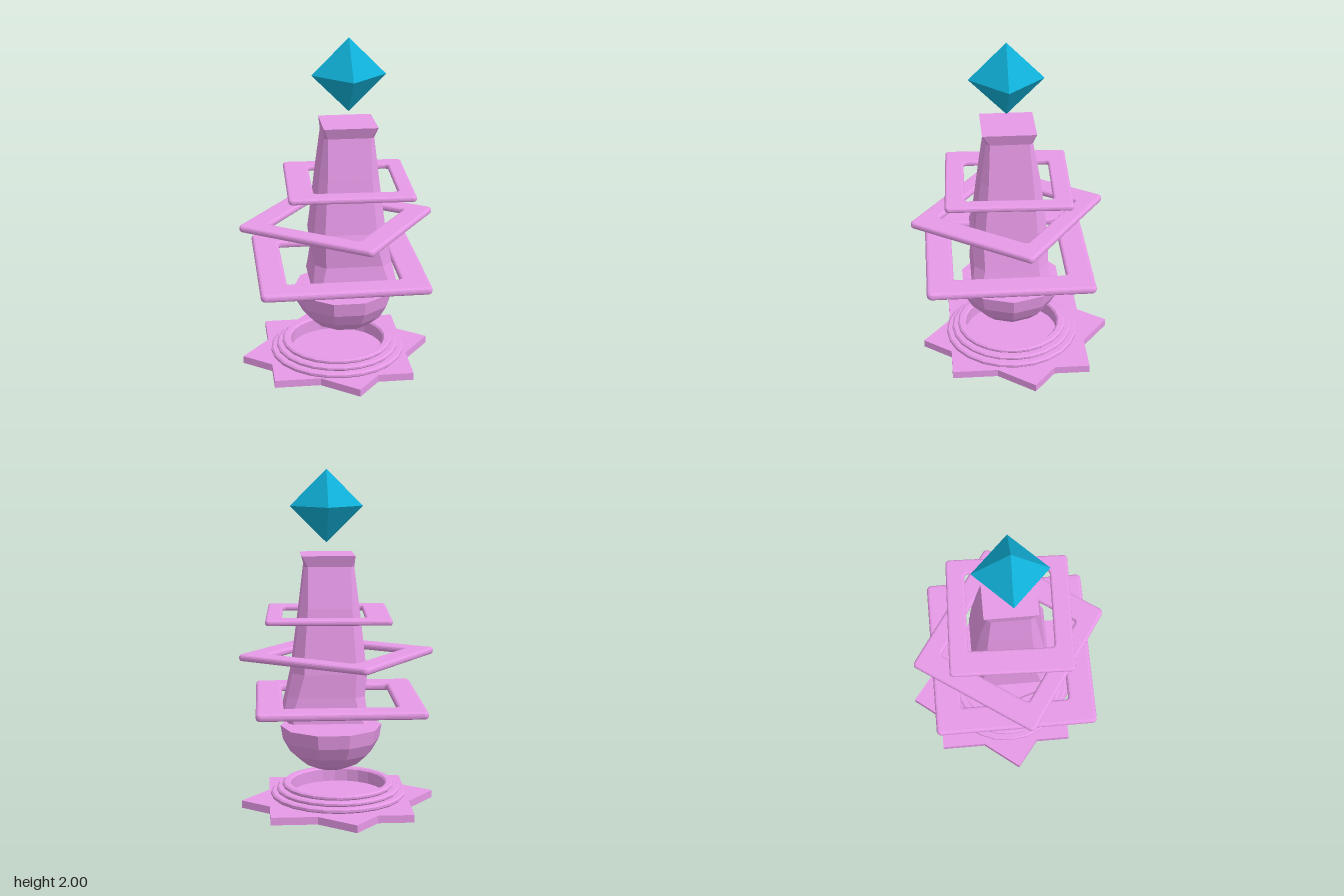
import * as THREE from 'three';

const pink = new THREE.MeshStandardMaterial({ color: 0xe699e6 });
const pinkFlat = new THREE.MeshStandardMaterial({ color: 0xe699e6, flatShading: true });
const blue = new THREE.MeshStandardMaterial({ color: 0x10b0d8, flatShading: true });

// Traces a rounded rectangle centred on (cx, cy) into a Shape or Path
function roundedRect(path, w, h, r, cx = 0, cy = 0) {
  const x = w / 2 - r, y = h / 2 - r;
  path.absarc(cx + x, cy + y, r, 0, Math.PI / 2);
  path.absarc(cx - x, cy + y, r, Math.PI / 2, Math.PI);
  path.absarc(cx - x, cy - y, r, Math.PI, Math.PI * 1.5);
  path.absarc(cx + x, cy - y, r, Math.PI * 1.5, Math.PI * 2);
  path.closePath();
  return path;
}

// Flat square frame with rounded edges, lying level
function frameGeometry(w, d, holeW, holeD, thick, holeX = 0) {
  const b = thick * 0.4;
  const shape = roundedRect(new THREE.Shape(), w - 2 * b, d - 2 * b, 0.012);
  shape.holes.push(roundedRect(new THREE.Path(), holeW + 2 * b, holeD + 2 * b, 0.035, holeX, 0));
  const geo = new THREE.ExtrudeGeometry(shape, {
    depth: thick - 2 * b, bevelThickness: b, bevelSize: b, bevelSegments: 3, curveSegments: 4,
  });
  geo.translate(0, 0, -(thick - 2 * b) / 2);
  return geo.rotateX(-Math.PI / 2);
}

// Joins chamfered rectangular sections [y, x0, x1, z0, z1, chamfer] into a closed column
function columnGeometry(sections) {
  const pos = [], index = [], n = 8;
  for (const [y, x0, x1, z0, z1, c] of sections) {
    pos.push(x0 + c, y, z1, x1 - c, y, z1, x1, y, z1 - c, x1, y, z0 + c,
      x1 - c, y, z0, x0 + c, y, z0, x0, y, z0 + c, x0, y, z1 - c);
  }
  for (let s = 0; s < sections.length - 1; s++) {
    for (let i = 0; i < n; i++) {
      const a = s * n + i, b = s * n + (i + 1) % n;
      index.push(a, b, b + n, a, b + n, a + n);
    }
  }
  const top = (sections.length - 1) * n;
  for (let i = 1; i < n - 1; i++) {
    index.push(0, i + 1, i, top, top + i, top + i + 1);
  }
  const geo = new THREE.BufferGeometry();
  geo.setAttribute('position', new THREE.Float32BufferAttribute(pos, 3));
  geo.setIndex(index);
  geo.computeVertexNormals();
  return geo;
}

export function createModel() {
  const model = new THREE.Group();
  const add = (parent, name, geo, mat, x = 0, y = 0, z = 0, turn = 0) => {
    const mesh = new THREE.Mesh(geo, mat);
    mesh.name = name;
    mesh.position.set(x, y, z);
    mesh.rotation.y = THREE.MathUtils.degToRad(turn);
    parent.add(mesh);
    return mesh;
  };

  // Star-shaped foot: two overlapping square slabs
  const foot = new THREE.Group();
  foot.name = 'starFoot';
  for (const turn of [7, 45]) {
    add(foot, 'footSlab', new THREE.CylinderGeometry(0.584, 0.584, 0.045, 4), pinkFlat, 0, 0.0225, -0.03, turn);
  }
  model.add(foot);

  // Three stepped rings with an open well in the middle
  const rings = [[0.405, 0.045, 0.075], [0.37, 0.075, 0.102], [0.335, 0.102, 0.13]];
  const profile = [[0.285, 0.045]];
  for (const [r, y0, y1] of rings) {
    profile.push([r - 0.008, y0], [r, y0 + 0.008], [r, y1 - 0.008], [r - 0.01, y1]);
  }
  profile.push([0.295, 0.13], [0.285, 0.12], [0.285, 0.045]);
  add(model, 'steppedRing',
    new THREE.LatheGeometry(profile.map(([r, y]) => new THREE.Vector2(r, y)), 24), pinkFlat);

  // Floating faceted bowl with its flat lid
  const bowl = new THREE.Group();
  bowl.name = 'bowl';
  const half = new THREE.SphereGeometry(1, 10, 5, 0, Math.PI * 2, Math.PI / 2, Math.PI / 2);
  add(bowl, 'bowlShell', half.scale(0.305, 0.272, 0.305), pinkFlat);
  add(bowl, 'bowlLid', new THREE.CircleGeometry(0.305, 10).rotateX(-Math.PI / 2), pinkFlat);
  bowl.position.set(0.04, 0.475, 0.01);
  model.add(bowl);

  // Rough-hewn tapering tower with a flared top
  add(model, 'tower', columnGeometry([
    [0.53, -0.17, 0.3, -0.21, 0.25, 0.03],
    [0.57, -0.165, 0.33, -0.207, 0.25, 0.05],
    [0.68, -0.15, 0.305, -0.2, 0.235, 0.06],
    [0.82, -0.165, 0.275, -0.2, 0.25, 0.07],
    [0.88, -0.155, 0.268, -0.195, 0.23, 0.06],
    [1.2, -0.12, 0.228, -0.155, 0.19, 0.045],
    [1.44, -0.09, 0.2, -0.11, 0.155, 0.02],
    [1.505, -0.095, 0.218, -0.13, 0.18, 0.003],
  ]), pinkFlat);

  // Level frames floating around the tower
  add(model, 'lowerFrame', frameGeometry(0.98, 0.98, 0.66, 0.66, 0.045), pink, 0, 0.628, 0.03);
  add(model, 'middleFrame', frameGeometry(0.875, 0.83, 0.59, 0.6, 0.04), pink, 0, 0.905, 0.02, -34.5);
  add(model, 'upperFrame', frameGeometry(0.725, 0.725, 0.485, 0.505, 0.033, 0.028), pink, 0.058, 1.145, 0.028, -2);

  // Floating crystal
  add(model, 'crystal', new THREE.OctahedronGeometry(0.215), blue, 0.065, 1.785, 0.032);
  return model;
}
